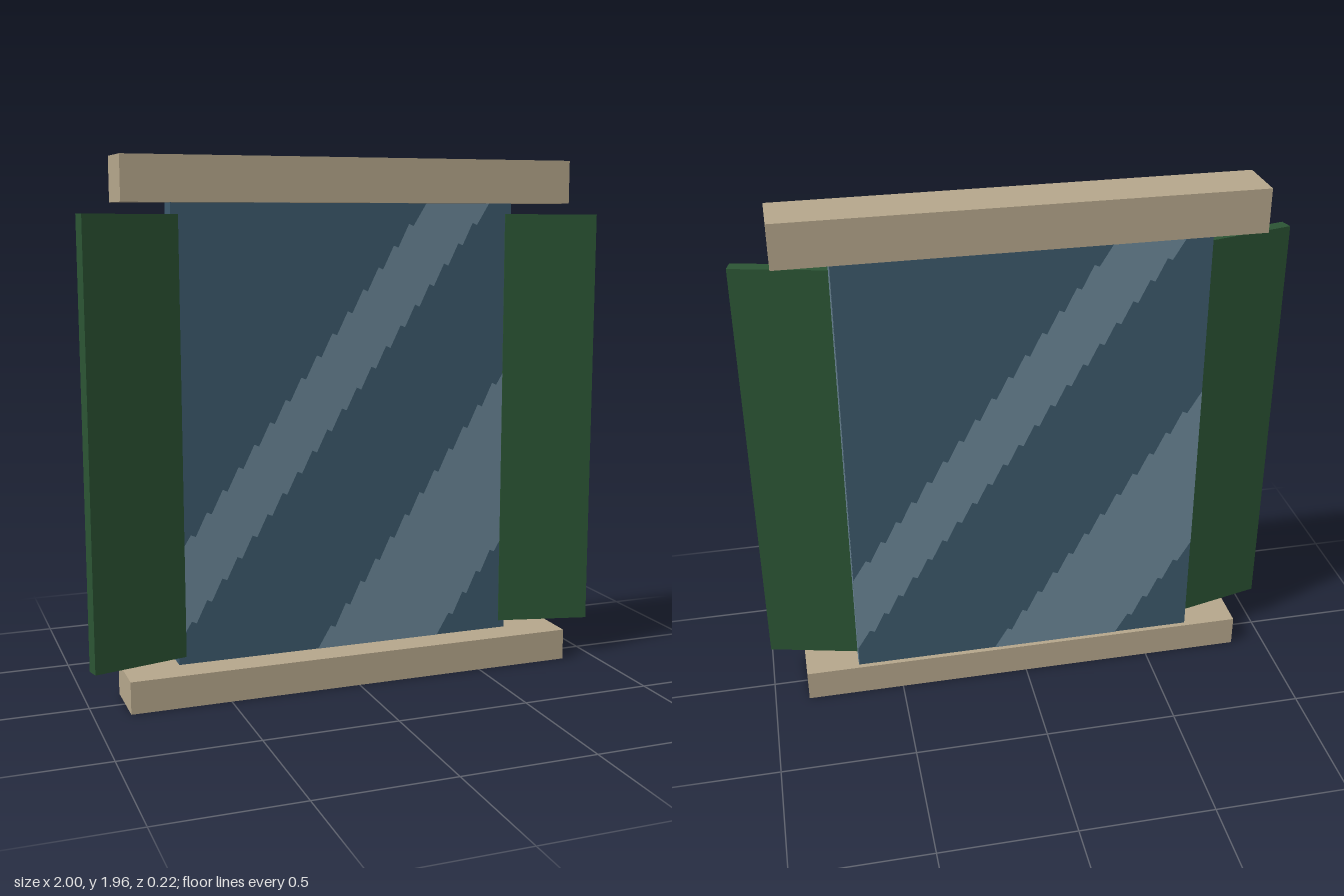
import * as THREE from 'three';

const wood = new THREE.MeshStandardMaterial({ color: 0xb5a68b });
wood.name = 'stone tan';
const green = new THREE.MeshStandardMaterial({ color: 0x2b5434 });
green.name = 'shutter green';
const darkGlass = new THREE.MeshStandardMaterial({ color: 0x3c596c });
darkGlass.name = 'dark glass';
const lightGlass = new THREE.MeshStandardMaterial({ color: 0x6b8798 });
lightGlass.name = 'light glass';

// Box from its minimum and maximum corners
function box(name, material, [x0, y0, z0], [x1, y1, z1]) {
  const mesh = new THREE.Mesh(new THREE.BoxGeometry(x1 - x0, y1 - y0, z1 - z0), material);
  mesh.position.set((x0 + x1) / 2, (y0 + y1) / 2, (z0 + z1) / 2);
  mesh.name = name;
  return mesh;
}

// Small stair steps along a slanted edge
function steppedEdge([x0, y0], [x1, y1]) {
  const n = Math.max(2, Math.round((x1 - x0) / 0.06));
  const points = [new THREE.Vector2(x0, y0)];
  for (let i = 1; i < n; i++) {
    const x = x0 + (x1 - x0) * i / n, y = y0 + (y1 - y0) * i / n;
    points.push(new THREE.Vector2(x - 0.009, y + 0.004), new THREE.Vector2(x + 0.009, y - 0.004));
  }
  points.push(new THREE.Vector2(x1, y1));
  return points;
}

// Flat reflection band between a lower and an upper edge
function reflection(lower, upper, corner = []) {
  const outline = [
    ...steppedEdge(...lower),
    ...corner.map(([x, y]) => new THREE.Vector2(x, y)),
    ...steppedEdge(...upper).reverse(),
  ];
  return new THREE.ShapeGeometry(new THREE.Shape(outline));
}

export function createModel() {
  const model = new THREE.Group();
  model.name = 'shutteredWindow';

  // Sill and lintel
  model.add(box('sill', wood, [-0.87, 0, -0.112], [0.87, 0.12, 0.113]));
  model.add(box('lintel', wood, [-0.858, 1.8, -0.112], [0.858, 1.96, 0.093]));

  // Glass pane, with a pale strip on its +x edge
  model.add(box('glassPane', darkGlass, [-0.665, 0.12, -0.093], [0.665, 1.8, -0.008]));
  model.add(box('glassEdgeStrip', lightGlass, [0.664, 0.12, -0.093], [0.667, 1.8, -0.05]));

  // Diagonal reflections on both faces of the pane
  const bands = [
    reflection([[-0.665, 0.2], [0.57, 1.8]], [[-0.665, 0.522], [0.31, 1.8]]),
    reflection([[0.37, 0.12], [0.665, 0.52]], [[-0.125, 0.12], [0.665, 1.19]]),
  ];
  for (const [side, z, turn] of [['front', -0.006, 0], ['back', -0.095, Math.PI]]) {
    bands.forEach((geometry, i) => {
      const mesh = new THREE.Mesh(geometry, lightGlass);
      mesh.name = `${side}Reflection${i + 1}`;
      mesh.position.z = z;
      mesh.rotation.y = turn;
      model.add(mesh);
    });
  }

  // Shutters, hinged at the pane with their outer ends swung forward
  const width = 0.36, thickness = 0.05, angle = 0.24;
  for (const side of [1, -1]) {
    const geometry = new THREE.BoxGeometry(width, 1.61, thickness);
    geometry.translate(-side * width / 2, 0, -thickness / 2);
    const shutter = new THREE.Mesh(geometry, green);
    shutter.name = side > 0 ? 'leftShutter' : 'rightShutter';
    shutter.position.set(side * 0.988, 0.955, 0.083);
    shutter.rotation.y = -side * angle;
    model.add(shutter);
  }
  return model;
}
